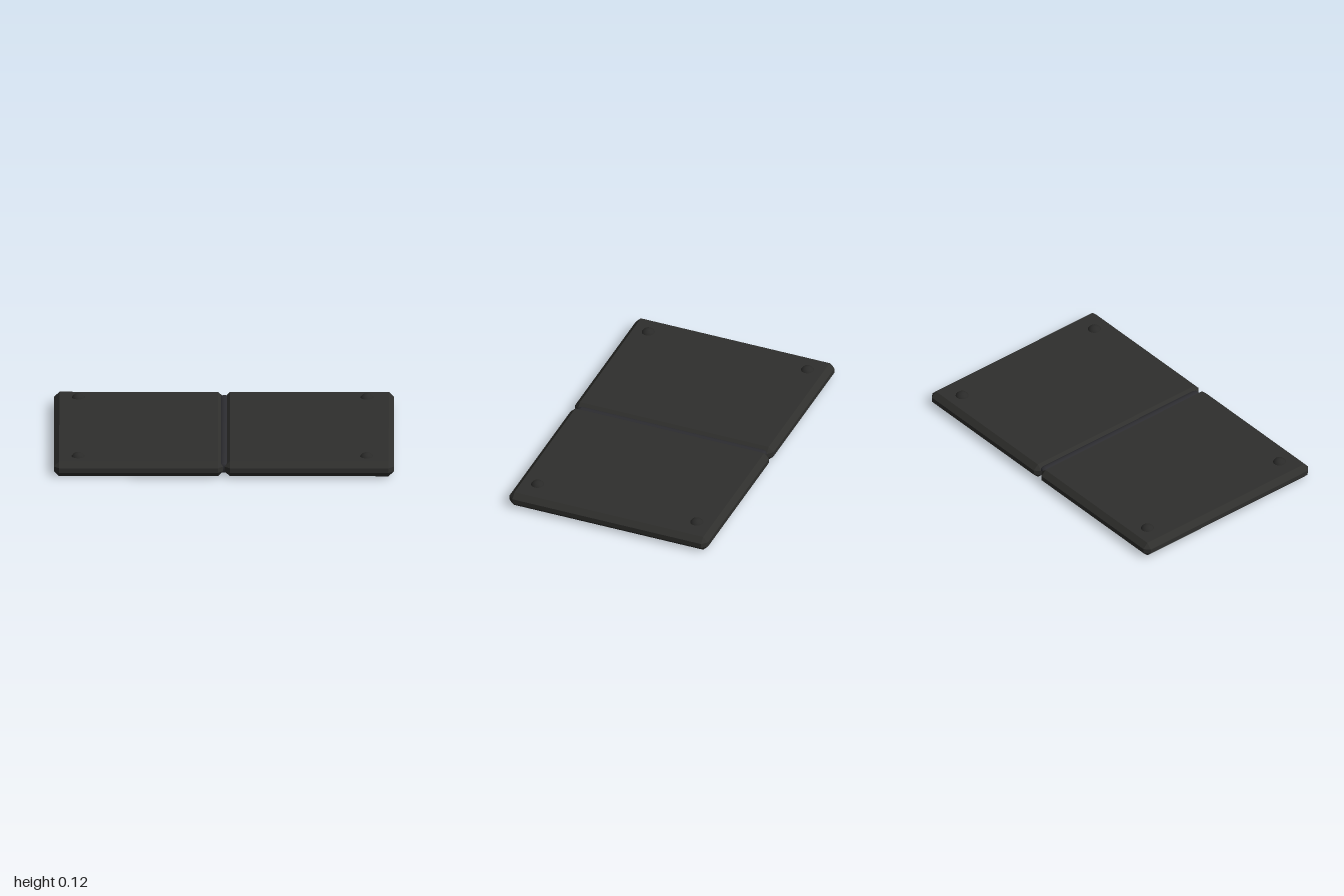
import * as THREE from 'three';
import { ConvexGeometry } from 'three/addons/geometries/ConvexGeometry.js';

const HEIGHT = 0.091, DEPTH = 1.264, CHAMFER = 0.031;
const INNER = 0.004, OUTER = 1;

// Box whose edges and corners are all cut at 45 degrees
function chamferedBox(w, h, d, c) {
  const points = [];
  for (const sx of [-1, 1]) for (const sy of [-1, 1]) for (const sz of [-1, 1]) {
    for (let axis = 0; axis < 3; axis++) {
      const half = [w / 2, h / 2, d / 2].map((v, i) => (i === axis ? v : v - c));
      points.push(new THREE.Vector3(sx * half[0], sy * half[1], sz * half[2]));
    }
  }
  return new ConvexGeometry(points);
}

export function createModel() {
  const group = new THREE.Group();
  const panelMat = new THREE.MeshStandardMaterial({ color: 0x2f2f2d, flatShading: true });
  const hingeMat = new THREE.MeshStandardMaterial({ color: 0x2c2c30 });
  const footMat = new THREE.MeshStandardMaterial({ color: 0x2a2a29 });

  function add(name, geometry, material, x, y, z) {
    const mesh = new THREE.Mesh(geometry, material);
    mesh.name = name;
    mesh.position.set(x, y, z);
    group.add(mesh);
    return mesh;
  }

  // Two panels lying open, side by side
  const panelGeo = chamferedBox(OUTER - INNER, HEIGHT, DEPTH, CHAMFER);
  for (const [side, s] of [['left', 1], ['right', -1]]) {
    add(side + 'Panel', panelGeo, panelMat, s * (OUTER + INNER) / 2, HEIGHT / 2, 0);
  }

  // Hinge rod with softened ends, running along the fold
  const profile = [[0, -0.6], [0.018, -0.6], [0.028, -0.592], [0.033, -0.575],
    [0.033, 0.575], [0.028, 0.592], [0.018, 0.6], [0, 0.6]]
    .map(([r, y]) => new THREE.Vector2(r, y));
  const hinge = add('hingeRod', new THREE.LatheGeometry(profile, 24), hingeMat, 0, 0.047, 0);
  hinge.rotation.x = Math.PI / 2;

  // Low domed bumpers near the four outer corners
  const footGeo = new THREE.SphereGeometry(0.043, 24, 10, 0, Math.PI * 2, 0, Math.PI / 2);
  for (const x of [-0.857, 0.84]) for (const z of [-0.507, 0.507]) {
    add('bumper', footGeo, footMat, x, 0.072, z);
  }
  return group;
}
